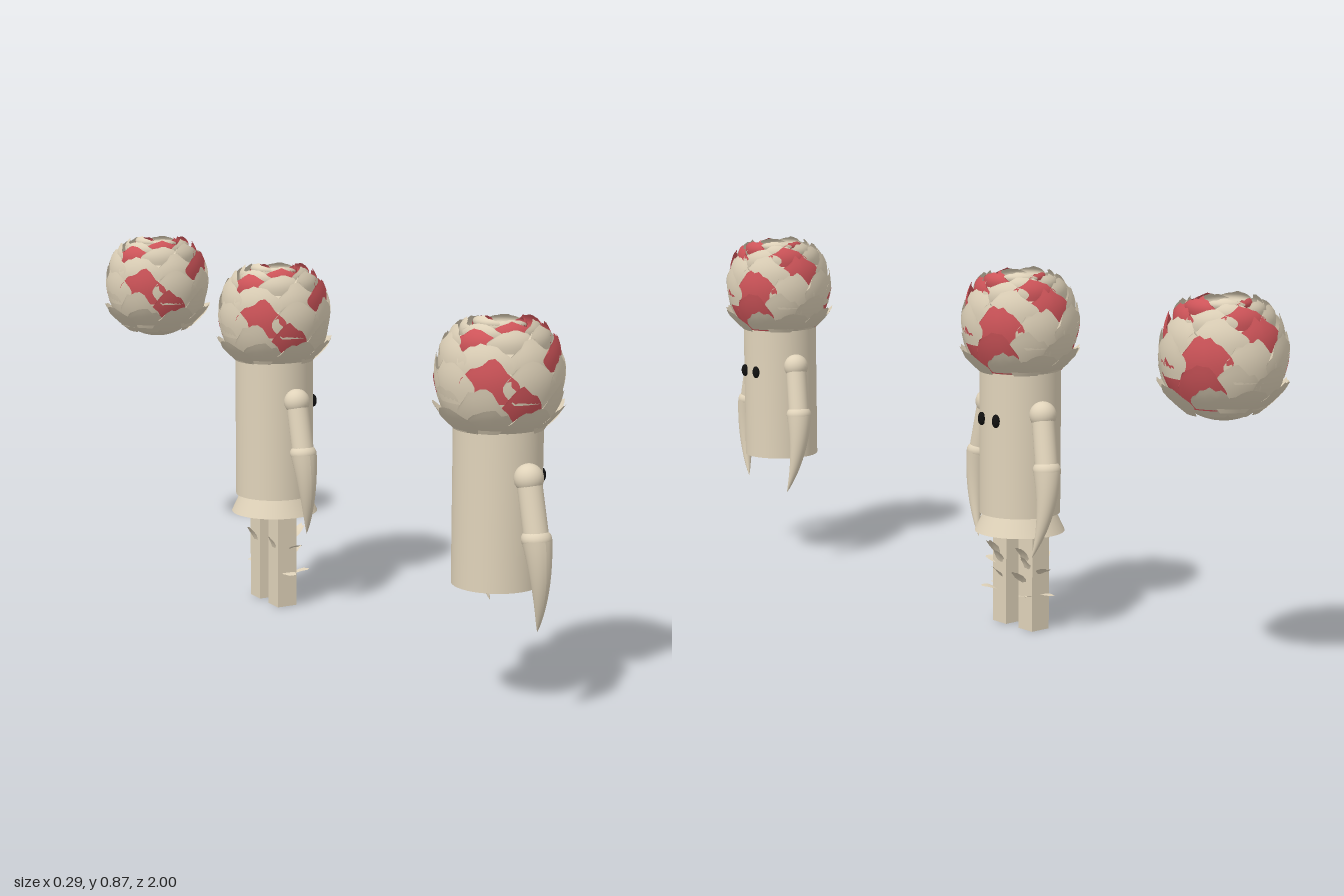
import * as THREE from 'three';

const cream = new THREE.MeshStandardMaterial({ color: 0xe0d3ba });
const creamLeaf = new THREE.MeshStandardMaterial({ color: 0xe0d3ba, side: THREE.DoubleSide });
const redLeaf = new THREE.MeshStandardMaterial({ color: 0xd2565b, side: THREE.DoubleSide });
const black = new THREE.MeshStandardMaterial({ color: 0x111111 });

let seed = 7;
const rand = () => (seed = (seed * 16807) % 2147483647) / 2147483647;

function add(group, name, geometry, material, x = 0, y = 0, z = 0) {
  const mesh = new THREE.Mesh(geometry, material);
  mesh.name = name;
  mesh.position.set(x, y, z);
  group.add(mesh);
  return mesh;
}

// Petal wrapped around the head axis, with a ragged upper edge
function petalGeometry(angle, span, y0, r0, y1, r1) {
  const geo = new THREE.PlaneGeometry(1, 1, 8, 6);
  const p = geo.attributes.position;
  const jag = Array.from({ length: 9 }, () => rand() * 0.16);
  const lift = rand() * 0.005;
  for (let i = 0; i < p.count; i++) {
    const u = p.getX(i), v = p.getY(i) + 0.5;
    const col = Math.round((u + 0.5) * 8);
    const a = angle - u * span * (0.62 + 0.42 * Math.sin(Math.PI * v * 0.85));
    const t = v * (1 - 1.3 * u * u - jag[col] * v);
    const r = r0 + (r1 - r0) * t + 0.007 * Math.sin(Math.PI * t) + lift * v + 0.002;
    p.setXYZ(i, r * Math.cos(a), y0 + (y1 - y0) * t, r * Math.sin(a));
  }
  geo.computeVertexNormals();
  return geo;
}

// Rows of petals: base height and radius, top height and radius, count, start angle, red angles (degrees)
const ROWS = [
  [0.608, 0.078, 0.685, 0.144, 9, 10, []],
  [0.625, 0.097, 0.735, 0.138, 9, 20, [20, 100, -20, 220]],
  [0.69, 0.129, 0.79, 0.127, 9, 11, [131, -29]],
  [0.75, 0.127, 0.83, 0.108, 8, 5, [50, -85]],
  [0.795, 0.106, 0.848, 0.089, 8, 20, [20, -70, 155]],
  [0.82, 0.083, 0.858, 0.066, 7, 0, [0, 103]],
  [0.838, 0.053, 0.862, 0.042, 5, 30, [30, 246]],
];

function buildHead() {
  const head = new THREE.Group();
  head.name = 'head';
  seed = 7;
  add(head, 'headCore', new THREE.SphereGeometry(0.129, 40, 28), cream, 0, 0.72, 0);
  for (const [y0, r0, y1, r1, count, start, reds] of ROWS) {
    for (let i = 0; i < count; i++) {
      const deg = start + (i * 360) / count;
      const isRed = reds.some((d) => Math.abs(((deg - d + 540) % 360) - 180) < 180 / count);
      const span = ((Math.PI * 2) / count) * (1.15 + rand() * 0.2);
      const a = THREE.MathUtils.degToRad(deg) + (rand() - 0.5) * 0.12;
      const dy = (rand() - 0.5) * 0.008;
      add(head, isRed ? 'redPetal' : 'petal', petalGeometry(a, span, y0 + dy, r0, y1 + dy, r1),
        isRed ? redLeaf : creamLeaf);
    }
  }
  return head;
}

// Arm with round joints and a curved, pointed forearm
function buildArm(side, shoulderX, elbowX, tipX) {
  const arm = new THREE.Group();
  arm.name = side > 0 ? 'frontArm' : 'backArm';
  const shoulder = new THREE.Vector3(shoulderX, 0.532, side * 0.117);
  const elbow = new THREE.Vector3(elbowX, 0.408, side * 0.149);
  const tip = new THREE.Vector3(tipX, 0.198, side * 0.13);

  add(arm, 'shoulder', new THREE.SphereGeometry(0.032, 24, 16), cream, ...shoulder);
  const dir = elbow.clone().sub(shoulder);
  const upper = add(arm, 'upperArm', new THREE.CylinderGeometry(0.027, 0.027, dir.length(), 24), cream,
    ...shoulder.clone().lerp(elbow, 0.5));
  upper.quaternion.setFromUnitVectors(new THREE.Vector3(0, -1, 0), dir.normalize());
  add(arm, 'elbow', new THREE.SphereGeometry(0.033, 24, 16), cream, ...elbow).scale.y = 0.75;

  const bend = new THREE.Vector3((elbowX * 2 + tipX) / 3, 0.3, side * 0.172);
  const curve = new THREE.QuadraticBezierCurve3(elbow, bend, tip);
  const geo = new THREE.CylinderGeometry(1, 1, 1, 24, 16, true);
  const p = geo.attributes.position;
  for (let i = 0; i < p.count; i++) {
    const t = 0.5 - p.getY(i);
    const r = 0.033 * Math.pow(1 - t, 0.8);
    const c = curve.getPoint(t);
    p.setXYZ(i, c.x + p.getX(i) * r, c.y, c.z + p.getZ(i) * r);
  }
  geo.computeVertexNormals();
  add(arm, 'forearm', geo, cream);
  return arm;
}

function buildTorso() {
  const torso = new THREE.Group();
  torso.name = 'torso';
  add(torso, 'body', new THREE.CylinderGeometry(0.097, 0.097, 0.35, 40), cream, 0, 0.455, 0);
  for (const s of [1, -1]) {
    add(torso, 'eye', new THREE.SphereGeometry(1, 20, 14), black, 0.097, 0.512, s * 0.026)
      .scale.set(0.009, 0.016, 0.01);
  }
  torso.add(buildArm(1, 0, 0, 0.02), buildArm(-1, 0.03, 0.045, 0.074));
  return torso;
}

// Small ragged leaf, bent along its length
function leafGeometry() {
  const geo = new THREE.PlaneGeometry(0.03, 0.045, 4, 4);
  const p = geo.attributes.position;
  for (let i = 0; i < p.count; i++) {
    const v = p.getY(i) / 0.045 + 0.5;
    const w = 0.35 + 0.75 * Math.sin(Math.PI * Math.min(v, 0.9)) + (rand() - 0.5) * 0.3;
    p.setXYZ(i, p.getX(i) * w, v * 0.04 + (rand() - 0.5) * 0.005, 0.012 * v * v);
  }
  geo.computeVertexNormals();
  return geo;
}

// Leaf placement on a leg: direction around it (degrees from +z), height, outward tilt
const LEAVES = [[90, 0.15, 0.3], [80, 0.115, 0.5], [90, 0.17, 0.35], [0, 0.085, 1.2],
  [20, 0.14, 0.8], [-90, 0.15, 0.25], [60, 0.08, 1.0]];

function buildLegs() {
  const legs = new THREE.Group();
  legs.name = 'legs';
  add(legs, 'skirt', new THREE.CylinderGeometry(0.086, 0.108, 0.047, 40), cream, 0, 0.2585, 0);
  for (const s of [1, -1]) {
    const leg = new THREE.Group();
    leg.name = s > 0 ? 'frontLeg' : 'backLeg';
    leg.position.set(-0.004, 0, s * 0.048);
    add(leg, 'legPost', new THREE.BoxGeometry(0.053, 0.25, 0.05), cream, 0, 0.125, 0);
    for (const [deg, y, tilt] of LEAVES) {
      const a = THREE.MathUtils.degToRad(deg);
      const z = Math.cos(a) * s;
      const leaf = add(leg, 'legLeaf', leafGeometry(), creamLeaf,
        Math.sin(a) * 0.026, y, z * 0.023 + (rand() - 0.5) * 0.02);
      leaf.rotation.set(tilt, Math.atan2(Math.sin(a), z), (rand() - 0.5) * 0.7, 'YXZ');
    }
    legs.add(leg);
  }
  return legs;
}

export function createModel() {
  const model = new THREE.Group();
  model.name = 'plantFigures';
  // Whole figure, figure without legs, and head alone
  const stages = [
    ['wholeFigure', -0.178, [buildHead, buildTorso, buildLegs]],
    ['upperFigure', 0.822, [buildHead, buildTorso]],
    ['loneHead', -0.848, [buildHead]],
  ];
  for (const [name, z, builders] of stages) {
    const figure = new THREE.Group();
    figure.name = name;
    figure.position.set(-0.01, 0, z);
    builders.forEach((build) => figure.add(build()));
    model.add(figure);
  }
  return model;
}
